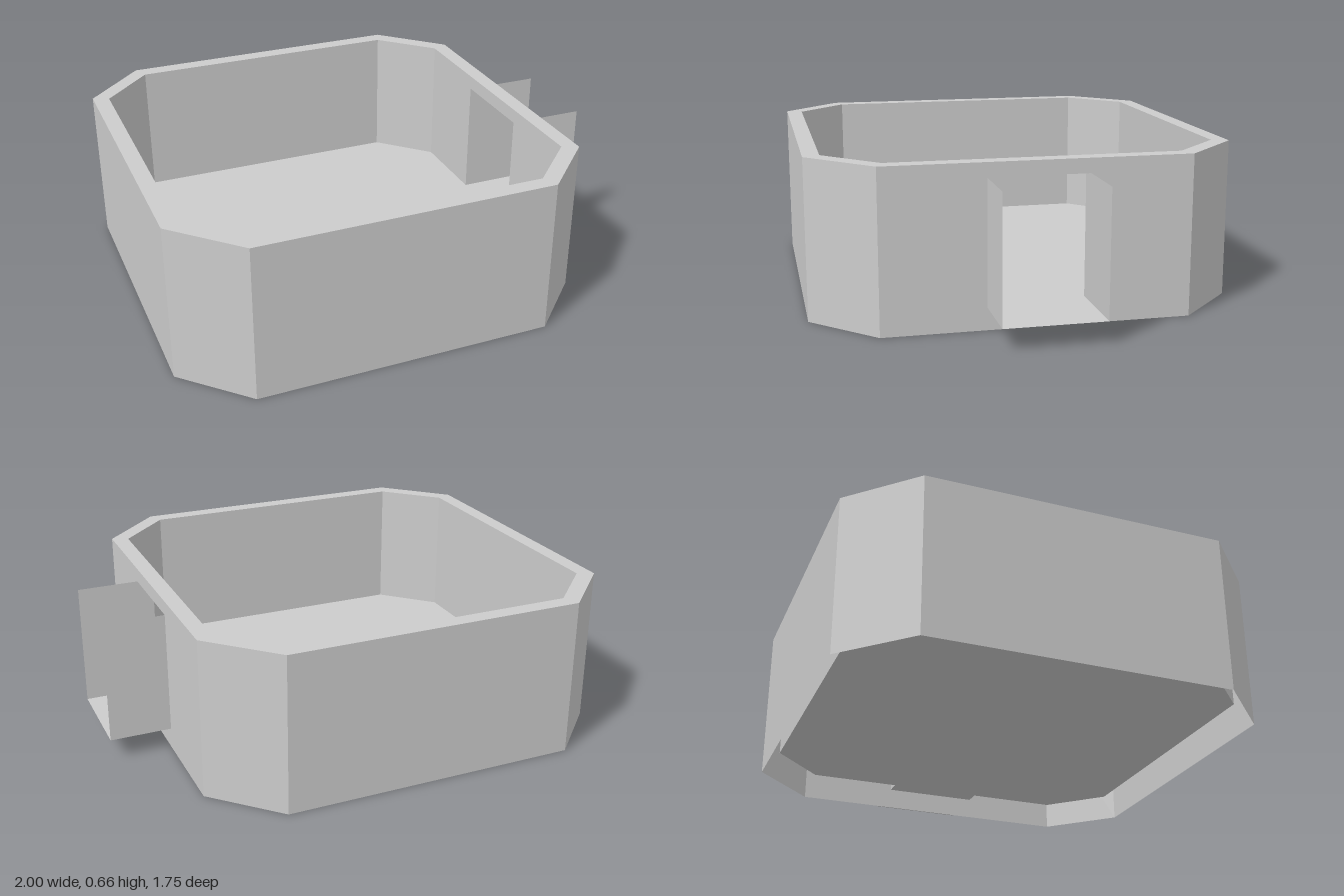
import * as THREE from 'three';

const material = new THREE.MeshStandardMaterial({ color: 0xcccccc, flatShading: true, side: THREE.DoubleSide });
const HEIGHT = 0.66, FLOOR = 0.09, CENTER_X = -0.1275;
const OUTER = { half: 0.8725, flat: 0.62 };
const INNER = { half: 0.805, flat: 0.592 };
const SPOUT = { half: 0.203, top: 0.6, end: 1.0 };

function add(parent, name, geometry) {
  const mesh = new THREE.Mesh(geometry, material);
  mesh.name = name;
  parent.add(mesh);
  return mesh;
}

// Flat rectangle facing +z
function rect(x0, x1, y0, y1) {
  return new THREE.PlaneGeometry(x1 - x0, y1 - y0).translate((x0 + x1) / 2, (y0 + y1) / 2, 0);
}

// Corners of a square with cut corners
function octagon({ half: h, flat: f }) {
  return [[h, -f], [h, f], [f, h], [-f, h], [-h, f], [-h, -f], [-f, -h], [f, -h]]
    .map(([x, y]) => new THREE.Vector2(x, y));
}

// Eight upright sides; the +x side is left open for the spout
function wallRing(name, { half, flat }, base) {
  const ring = new THREE.Group();
  ring.name = name;
  for (let i = 0; i < 8; i++) {
    const diagonal = i % 2 === 1;
    const distance = diagonal ? (half + flat) / Math.SQRT2 : half;
    const w = diagonal ? (half - flat) / Math.SQRT2 : flat;
    const pieces = [];
    if (i === 2) {
      pieces.push(rect(-w, -SPOUT.half, base, HEIGHT), rect(SPOUT.half, w, base, HEIGHT));
      pieces.push(rect(-SPOUT.half, SPOUT.half, SPOUT.top, HEIGHT));
      if (base < FLOOR) pieces.push(rect(-SPOUT.half, SPOUT.half, base, FLOOR));
    } else {
      pieces.push(rect(-w, w, base, HEIGHT));
    }
    pieces.forEach(g => add(ring, name + 'Side', g.translate(0, 0, distance).rotateY(i * Math.PI / 4)));
  }
  return ring;
}

export function createModel() {
  const model = new THREE.Group();
  model.name = 'basinWithSpout';

  // Basin: two nested wall shells, top rim and raised floor
  const basin = new THREE.Group();
  basin.name = 'basin';
  basin.position.x = CENTER_X;
  basin.add(wallRing('outerWall', OUTER, 0), wallRing('innerWall', INNER, FLOOR));
  const rim = new THREE.Shape(octagon(OUTER));
  rim.holes.push(new THREE.Path(octagon(INNER)));
  add(basin, 'rim', new THREE.ShapeGeometry(rim).rotateX(-Math.PI / 2).translate(0, HEIGHT, 0));
  add(basin, 'floor', new THREE.ShapeGeometry(new THREE.Shape(octagon(INNER)))
    .rotateX(-Math.PI / 2).translate(0, FLOOR, 0));
  model.add(basin);

  // Spout: open trough of thin sheets running out through the wall
  const spout = new THREE.Group();
  spout.name = 'spout';
  const inside = CENTER_X + INNER.half, outside = CENTER_X + OUTER.half;
  for (const side of [-1, 1]) {
    add(spout, 'spoutSide', rect(inside, SPOUT.end, FLOOR, SPOUT.top).translate(0, 0, side * SPOUT.half));
  }
  add(spout, 'spoutFloor', rect(inside, SPOUT.end, -SPOUT.half, SPOUT.half)
    .rotateX(-Math.PI / 2).translate(0, FLOOR, 0));
  add(spout, 'lintel', rect(inside, outside, -SPOUT.half, SPOUT.half)
    .rotateX(Math.PI / 2).translate(0, SPOUT.top, 0));
  model.add(spout);

  return model;
}
